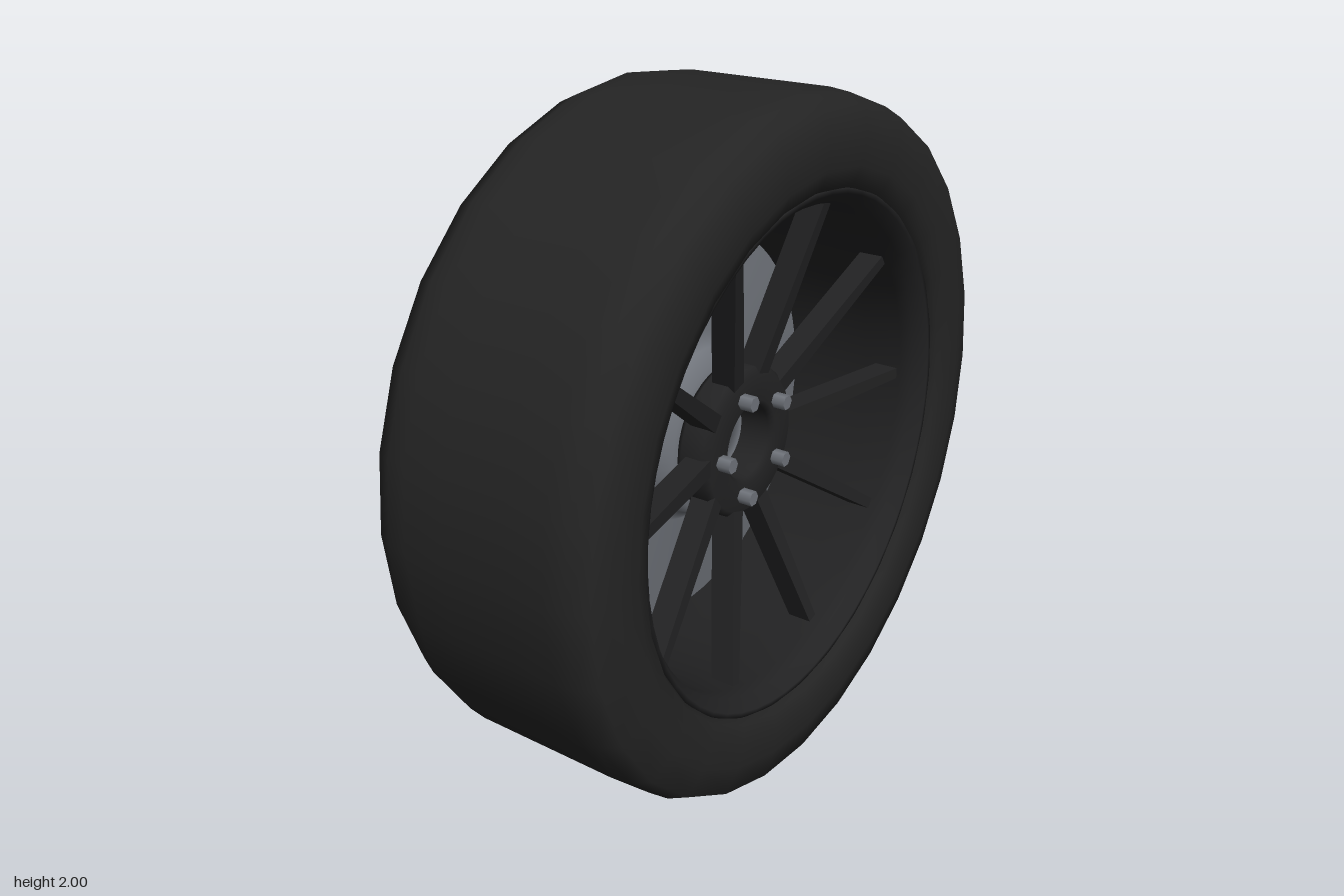
import * as THREE from 'three';

export function createModel() {
  const wheel = new THREE.Group();
  wheel.name = 'wheel';
  const mat = (name, color) => {
    const m = new THREE.MeshStandardMaterial({ color });
    m.name = name;
    return m;
  };
  const rubber = mat('tyre black', 0x242424);
  const rimBlack = mat('rim black', 0x222223);
  const steel = mat('steel grey', 0x70747b);
  const red = mat('caliper red', 0xbb2f2f);

  const add = (name, geometry, material, parent = wheel) => {
    const mesh = new THREE.Mesh(geometry, material);
    mesh.name = name;
    parent.add(mesh);
    return mesh;
  };
  // Closed profile of [radius, x] pairs, turned around the x axle
  const turned = (profile, segments) =>
    new THREE.LatheGeometry(
      [...profile, profile[0]].map(([r, x]) => new THREE.Vector2(r, x)), segments
    ).rotateZ(-Math.PI / 2);

  // Tyre with rounded shoulders
  const half = [[1, 0.1], [1, 0.22], [0.993, 0.28], [0.968, 0.335], [0.885, 0.353],
    [0.81, 0.35], [0.765, 0.335], [0.735, 0.3]];
  const mirrored = half.map(([r, x]) => [r, -x]).reverse();
  add('tyre', turned([...mirrored, ...half], 28), rubber);

  // Rim barrel with a small lip at each end
  add('rimBarrel', turned([
    [0.75, -0.32], [0.75, 0.32], [0.735, 0.32], [0.705, 0.28], [0.70, 0.24],
    [0.70, 0.12], [0.715, -0.1], [0.72, -0.28], [0.74, -0.32],
  ], 56), rimBlack);

  // Hub with an open bore and a bevelled front
  add('hub', turned([
    [0.105, 0.03], [0.215, 0.03], [0.222, 0.045], [0.222, 0.115],
    [0.205, 0.132], [0.125, 0.135], [0.11, 0.12],
  ], 40), rimBlack);

  // Ten tapered spokes leaning outwards to the rim
  const spokes = new THREE.Group();
  spokes.name = 'spokes';
  wheel.add(spokes);
  const spokeGeo = new THREE.BoxGeometry(0.075, 1, 1);
  const p = spokeGeo.attributes.position;
  for (let i = 0; i < p.count; i++) {
    const t = p.getY(i) + 0.5;
    p.setXYZ(i, p.getX(i) + 0.088 + 0.107 * t, 0.17 + 0.54 * t, p.getZ(i) * (0.052 - 0.018 * t));
  }
  spokeGeo.computeVertexNormals();
  for (let i = 0; i < 10; i++) {
    add('spoke', spokeGeo, rimBlack, spokes).rotation.x = Math.PI / 2 + i * Math.PI / 5;
  }

  // Five hexagonal wheel nuts, one pointing to +z
  const nutGeo = new THREE.CylinderGeometry(0.023, 0.023, 0.06, 6).rotateZ(-Math.PI / 2);
  for (let i = 0; i < 5; i++) {
    const a = i * Math.PI * 2 / 5;
    add('wheelNut', nutGeo, steel).position.set(0.145, 0.154 * Math.sin(a), 0.154 * Math.cos(a));
  }

  // Brake disc with a raised centre hat
  add('brakeDisc', turned([
    [0.58, -0.115], [0.58, -0.075], [0.285, -0.075], [0.25, -0.03], [0.23, 0.025],
    [0.1, 0.03], [0.1, -0.005], [0.19, -0.01], [0.22, -0.05], [0.245, -0.1], [0.29, -0.115],
  ], 64), steel);

  // Caliper: an arc block straddling the disc
  const arc = new THREE.Shape();
  const from = THREE.MathUtils.degToRad(20), to = THREE.MathUtils.degToRad(70);
  arc.absarc(0, 0, 0.62, from, to, false);
  arc.absarc(0, 0, 0.433, to, from, true);
  const caliperGeo = new THREE.ExtrudeGeometry(arc, { depth: 0.19, bevelEnabled: false, curveSegments: 10 });
  // Shape axes become z and y, extrusion runs towards -x
  caliperGeo.rotateY(-Math.PI / 2).translate(0.02, 0, 0);
  add('brakeCaliper', caliperGeo, red);

  // Stand the wheel on the ground
  for (const part of wheel.children) part.position.y += 1;
  return wheel;
}
